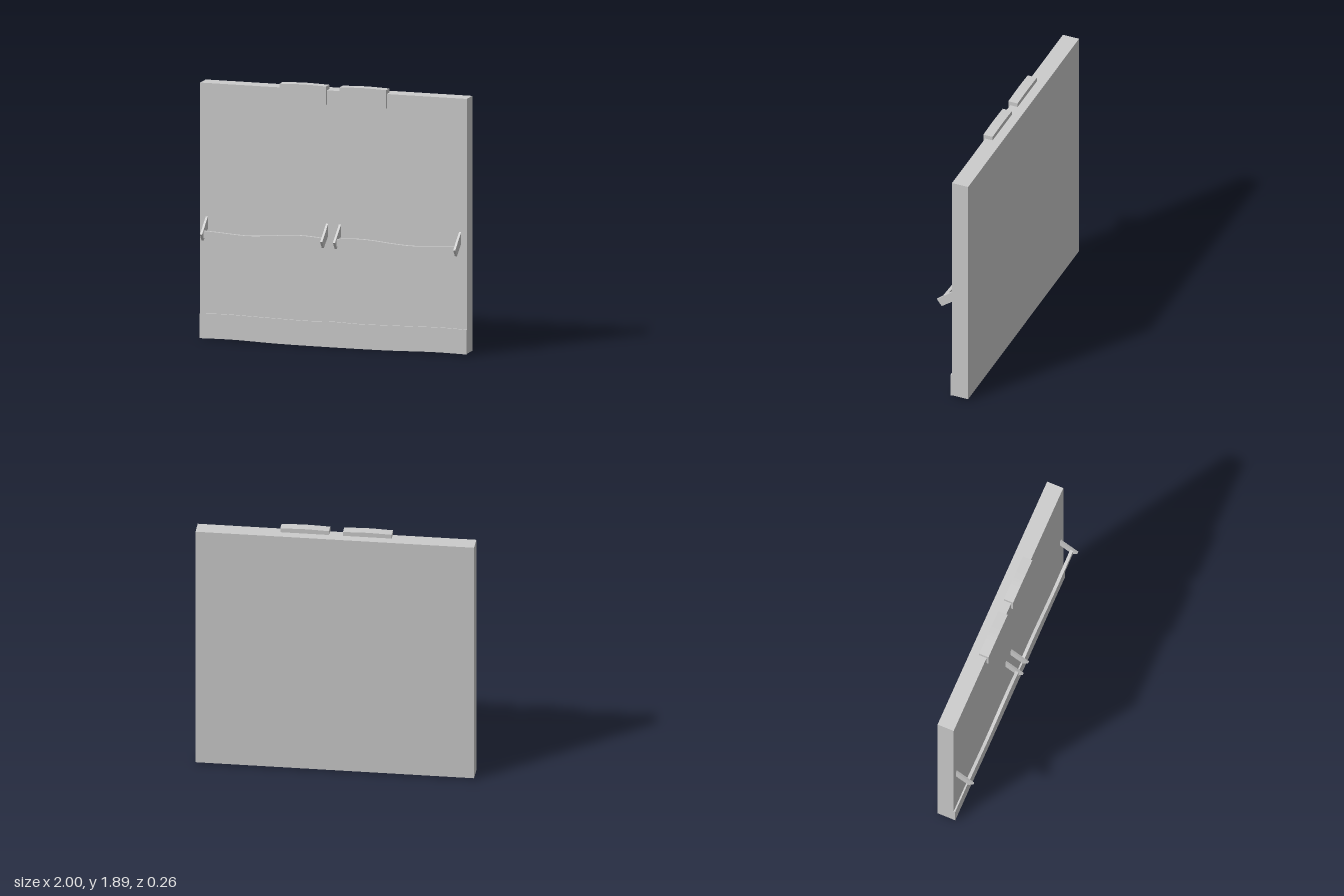
import * as THREE from 'three';

const material = new THREE.MeshStandardMaterial({ color: 0xcccccc, flatShading: true });

function add(parent, name, geometry) {
  const mesh = new THREE.Mesh(geometry, material);
  mesh.name = name;
  parent.add(mesh);
  return mesh;
}

const extrude = (shape, depth) =>
  new THREE.ExtrudeGeometry(shape, { depth, bevelEnabled: false, curveSegments: 16 });

// Smooth line through [x, y] points
const wave = (points, count) =>
  new THREE.SplineCurve(points.map(([x, y]) => new THREE.Vector2(x, y))).getPoints(count);

// Flat strip between a lower and an upper wavy edge, from z0 to z1
function wavyStrip(lower, upper, z0, z1, count = 32) {
  const outline = [...wave(lower, count), ...wave(upper, count).reverse()];
  return extrude(new THREE.Shape(outline), z1 - z0).translate(0, 0, z0);
}

const mirrorPoints = (half) => [
  ...half.slice().reverse().map(([x, y]) => [-x, y]),
  ...half.slice(1),
];

export function createModel() {
  const model = new THREE.Group();
  model.name = 'doublePanel';

  // Main panel
  add(model, 'panel', new THREE.BoxGeometry(2, 1.848, 0.125).translate(0, 0.937, -0.0675));

  // Wavy plinth strip along the bottom of the front
  const bottom = mirrorPoints([[0, 0.002], [0.4, 0.004], [0.75, 0.013], [1, 0.01]]);
  const top = mirrorPoints([[0, 0.187], [0.2, 0.182], [0.5, 0.187], [0.8, 0.193], [1, 0.188]]);
  add(model, 'plinthStrip', wavyStrip(bottom, top, -0.006, 0.007, 48));

  for (const side of [1, -1]) {
    const half = new THREE.Group();
    half.name = side > 0 ? 'leftFittings' : 'rightFittings';
    model.add(half);
    const place = (points) => side > 0
      ? points : points.map(([x, y]) => [-x, y]).reverse();

    // Top clip: front plate and the lid hooked over the panel's top edge
    const plateLow = place([[0.05, 1.757], [0.12, 1.761], [0.225, 1.763], [0.33, 1.761], [0.4, 1.757]]);
    const clipTop = place([[0.05, 1.891], [0.225, 1.896], [0.4, 1.891]]);
    const lidLow = place([[0.05, 1.859], [0.225, 1.861], [0.4, 1.859]]);
    add(half, 'clipPlate', wavyStrip(plateLow, clipTop, -0.006, 0.01, 16));
    add(half, 'clipLid', wavyStrip(lidLow, clipTop, -0.062, -0.006, 16));

    // Sloping brackets
    const profile = new THREE.Shape([
      new THREE.Vector2(0.006, 0.885), new THREE.Vector2(-0.006, 0.895),
      new THREE.Vector2(-0.006, 0.809), new THREE.Vector2(0.092, 0.735),
      new THREE.Vector2(0.13, 0.785),
    ]);
    for (const x of [0.048, 0.95]) {
      const bracket = extrude(profile, 0.016).translate(0, 0, -0.008).rotateY(-Math.PI / 2);
      add(half, 'bracket', bracket.translate(side * x, 0, 0));
    }

    // Wavy rail between the brackets
    const rail = [[0.048, 0.804], [0.12, 0.811], [0.22, 0.815], [0.32, 0.811],
      [0.46, 0.798], [0.6, 0.789], [0.72, 0.793], [0.84, 0.801], [0.95, 0.806]];
    const lower = rail.map(([x, y]) => [x, y - 0.05]);
    add(half, 'rail', wavyStrip(place(lower), place(rail), 0.073, 0.096));
  }
  return model;
}
